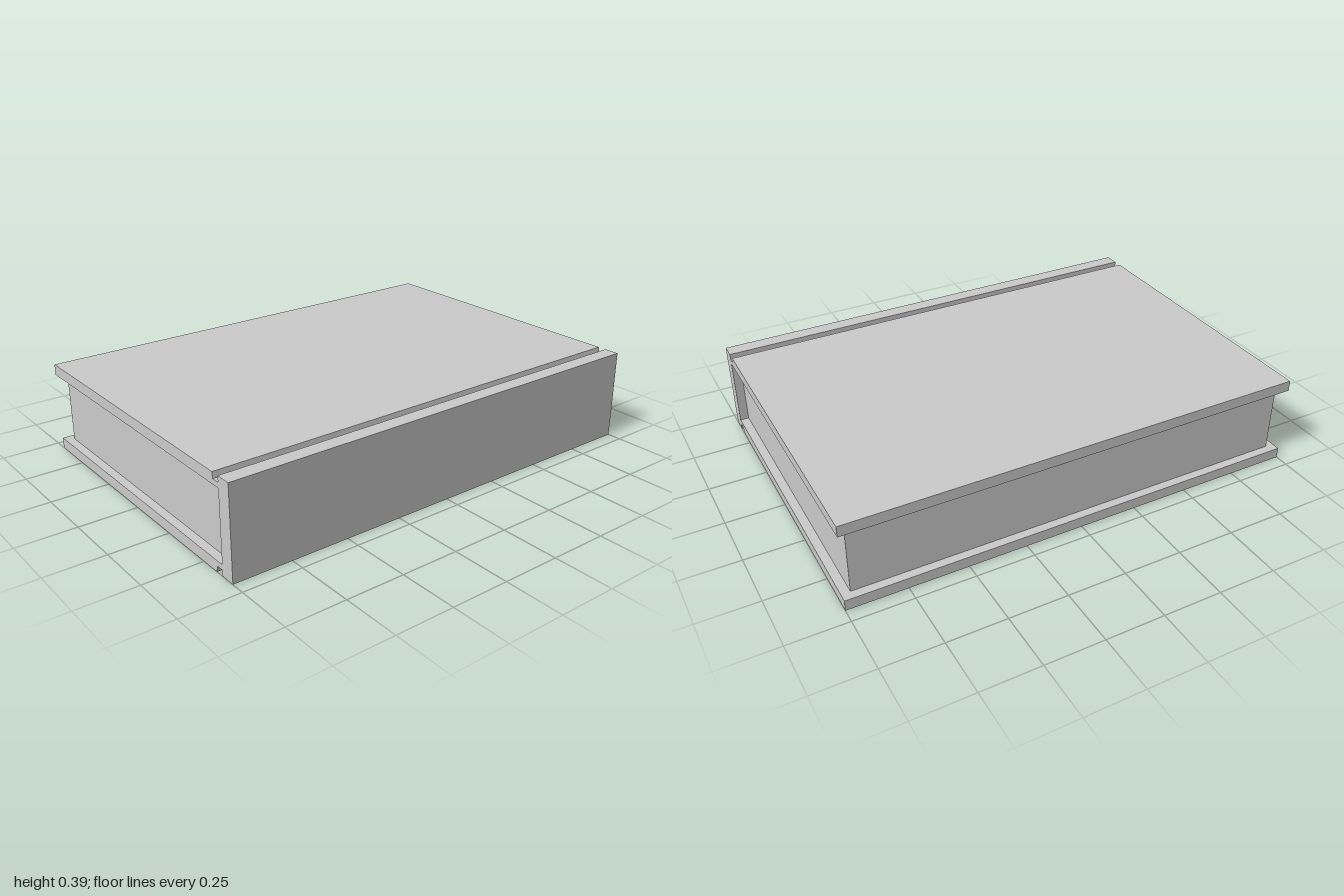
import * as THREE from 'three';

const HEIGHT = 0.39, BOARD = 0.047, GROOVE = 0.025;
const EDGE = 0.69, SPINE = 0.625, INSET = 0.037;

export function createModel() {
  const book = new THREE.Group();
  book.name = 'book';
  const material = new THREE.MeshStandardMaterial({ color: 0xcccccc, flatShading: true });

  // Cover: one C-shaped section with hinge grooves, run along z
  const half = [
    [SPINE, BOARD], [-EDGE, BOARD], [-EDGE, 0], [0.588, 0],
    [0.592, GROOVE], [SPINE, GROOVE], [SPINE, 0], [EDGE, 0],
  ];
  const mirrored = half.map(([x, y]) => [x, HEIGHT - y]).reverse();
  const section = new THREE.Shape([...half, ...mirrored].map(([x, y]) => new THREE.Vector2(x, y)));
  const coverGeometry = new THREE.ExtrudeGeometry(section, { depth: 2, bevelEnabled: false });
  coverGeometry.translate(0, 0, -1);
  const cover = new THREE.Mesh(coverGeometry, material);
  cover.name = 'cover';

  // Page block: set back from the three open edges
  const left = -EDGE + INSET;
  const pages = new THREE.Mesh(
    new THREE.BoxGeometry(SPINE - left, HEIGHT - 2 * BOARD, 2 - 2 * INSET), material);
  pages.position.set((SPINE + left) / 2, HEIGHT / 2, 0);
  pages.name = 'pageBlock';

  book.add(cover, pages);
  return book;
}
